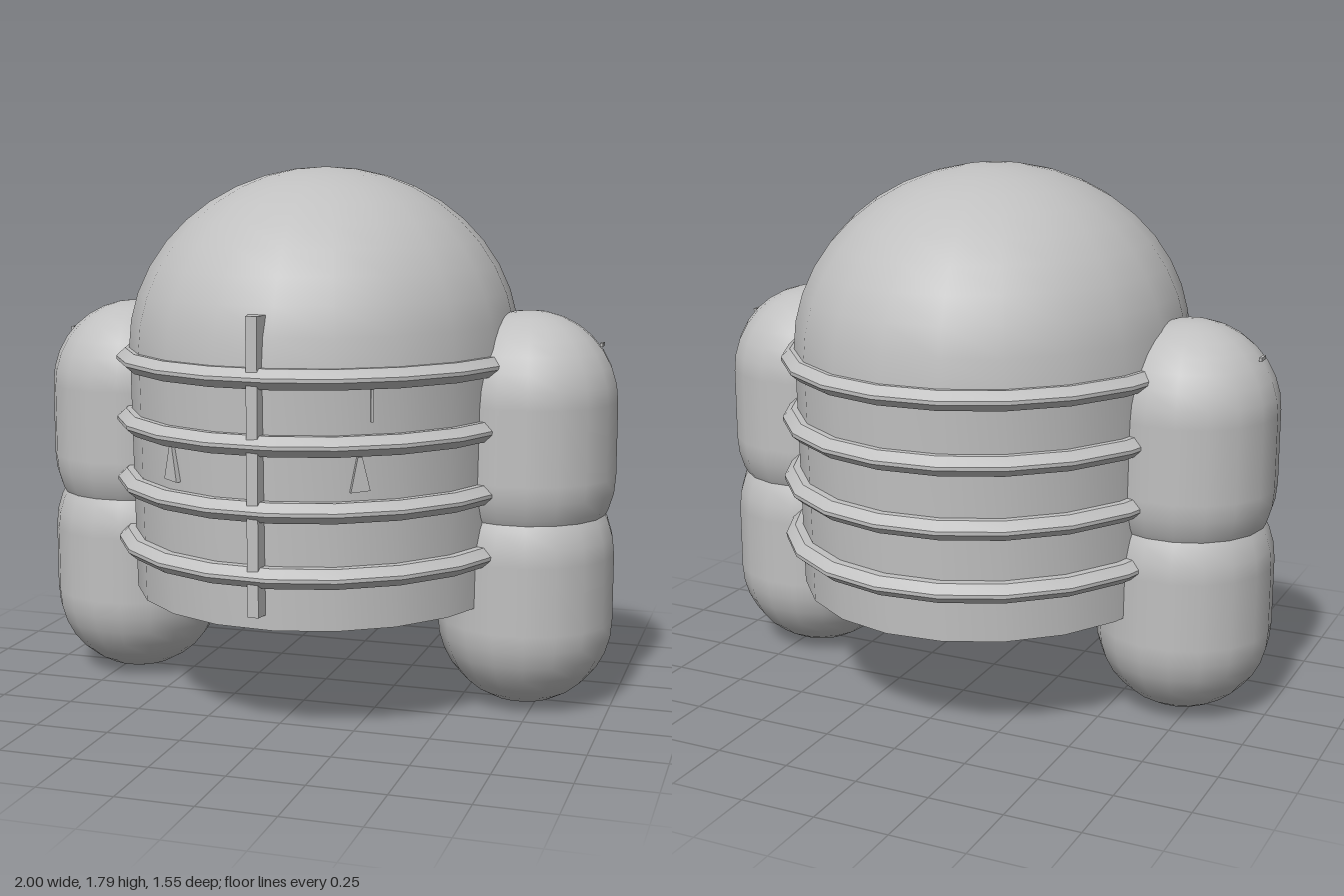
import * as THREE from 'three';
import { toCreasedNormals } from 'three/addons/utils/BufferGeometryUtils.js';

const SIDES = 21;      // facets around the body
const SQUASH = 0.9;    // body is narrower in x than in z
const PHI = THREE.MathUtils.degToRad(4.57);

export function createModel() {
  const group = new THREE.Group();
  const grey = new THREE.MeshStandardMaterial({ color: 0xc0c0c0 });

  const add = (name, geometry, x = 0, y = 0, z = 0) => {
    const mesh = new THREE.Mesh(geometry, grey);
    mesh.name = name;
    mesh.position.set(x, y, z);
    group.add(mesh);
    return mesh;
  };

  // Oval solid turned from a profile listed bottom to top
  const turned = (profile) => {
    const points = profile.map(([r, y]) => new THREE.Vector2(r, y));
    const geo = new THREE.LatheGeometry(points, SIDES, PHI);
    geo.scale(SQUASH, 1, 1);
    return toCreasedNormals(geo, 0.6);
  };

  // Drum with a shallow base plate
  add('body', turned([[0, 0.367], [0.61, 0.367], [0.61, 0.382], [0.712, 0.382], [0.727, 1.2]]));

  // Domed top
  const dome = [];
  for (let i = 0; i <= 10; i++) {
    const a = (i / 10) * Math.PI / 2;
    dome.push([0.73 * Math.cos(a), 1.2 + 0.6 * Math.sin(a)]);
  }
  dome[10][0] = 0;
  add('dome', turned(dome));

  // Ridged bands around the drum
  const band = turned([
    [0.70, -0.032], [0.745, -0.032], [0.777, -0.006],
    [0.777, 0.006], [0.745, 0.032], [0.70, 0.032],
  ]);
  [0.555, 0.76, 0.965, 1.17].forEach((y, i) => add(`band${i + 1}`, band, 0, y, 0));

  // Upper and lower rounded pods on each side
  const R = 0.295;
  const pod = (bottom, top) => new THREE.CapsuleGeometry(R, top - bottom - 2 * R, 8, 18);
  for (const side of [1, -1]) {
    const label = side > 0 ? 'left' : 'right';
    add(`${label}LowerPod`, pod(0.01, 0.825), side * 0.705, 0.4175, 0);
    add(`${label}UpperPod`, pod(0.5, 1.335), side * 0.705, 0.9175, 0);
    // Small nub on the pod shoulder
    add(`${label}PodNub`, new THREE.BoxGeometry(0.01, 0.012, 0.045), side * 0.943, 1.228, -0.005);

    // Small wedge plate on the front of the drum
    const wedge = new THREE.Shape([
      new THREE.Vector2(-0.03, -0.055), new THREE.Vector2(0.032, -0.05),
      new THREE.Vector2(0.006, 0.055), new THREE.Vector2(-0.008, 0.055),
    ]);
    const plate = new THREE.ExtrudeGeometry(wedge, { depth: 0.03, bevelEnabled: false });
    const mesh = add(`${label}Wedge`, plate, side * 0.297, 0.875, 0.618);
    mesh.rotation.y = side * 0.52;
    if (side < 0) {
      // Mirror the outline by turning the plate over
      mesh.rotation.set(0, Math.PI - 0.52, 0);
      mesh.position.set(-0.312, 0.875, 0.644);
    }
  }

  // Thin upright sliver above the left wedge
  const sliver = add('sliver', new THREE.BoxGeometry(0.008, 0.1, 0.01), 0.338, 1.085, 0.612);
  sliver.rotation.y = 0.55;

  // Upright front bar, wider toward the body
  const section = new THREE.Shape([
    new THREE.Vector2(-0.03, -0.69), new THREE.Vector2(-0.018, -0.752),
    new THREE.Vector2(0.018, -0.752), new THREE.Vector2(0.03, -0.69),
  ]);
  const bar = new THREE.ExtrudeGeometry(section, { depth: 0.93, bevelEnabled: false });
  bar.rotateX(-Math.PI / 2);
  add('frontBar', bar, 0, 0.43, 0);

  return group;
}
